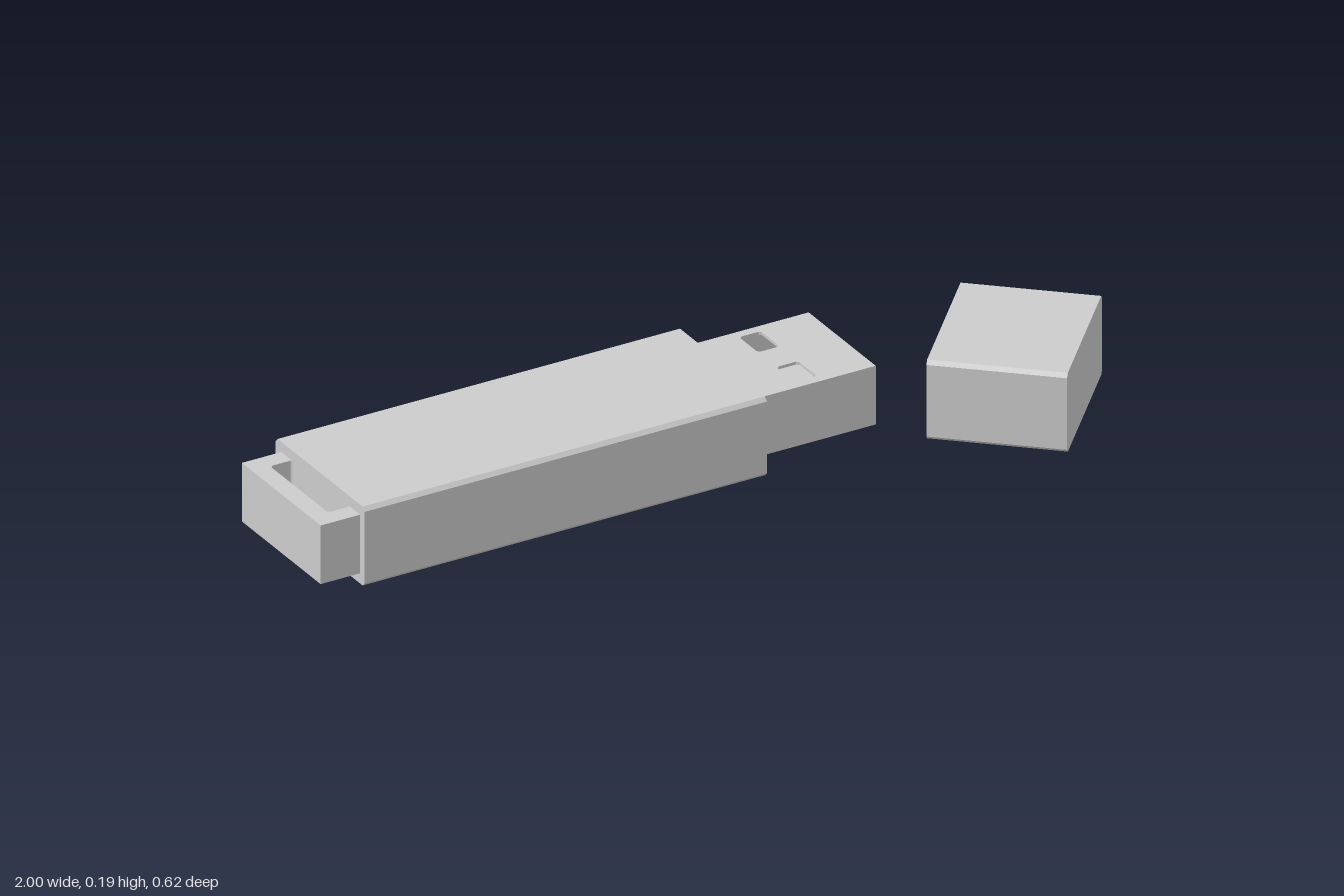
import * as THREE from 'three';

const material = new THREE.MeshStandardMaterial({ color: 0xcccccc, flatShading: true });

function add(group, name, geometry) {
  const mesh = new THREE.Mesh(geometry, material);
  mesh.name = name;
  group.add(mesh);
  return mesh;
}

// Box given by its limits on each axis
function box(x0, x1, y0, y1, z0, z1) {
  return new THREE.BoxGeometry(x1 - x0, y1 - y0, z1 - z0)
    .translate((x0 + x1) / 2, (y0 + y1) / 2, (z0 + z1) / 2);
}

// Rectangle with cut corners, centred on x
function chamferedRect(Type, width, y0, y1, c) {
  const w = width / 2;
  return new Type([
    [-w + c, y0], [w - c, y0], [w, y0 + c], [w, y1 - c],
    [w - c, y1], [-w + c, y1], [-w, y1 - c], [-w, y0 + c],
  ].map(([x, y]) => new THREE.Vector2(x, y)));
}

const extrude = (shape, depth) => new THREE.ExtrudeGeometry(shape, { depth, bevelEnabled: false });

// Flat plate in the xz plane with chamfered rectangular holes [x0, x1, z0, z1]
function plate([x0, x1, z0, z1], holes, y0, y1) {
  const rect = (Type, a, b, c, d) => new Type([[a, -d], [b, -d], [b, -c], [a, -c]]
    .map(([x, y]) => new THREE.Vector2(x, y)));
  const shape = rect(THREE.Shape, x0, x1, z0, z1);
  for (const [a, b, c, d] of holes) {
    const hole = chamferedRect(THREE.Path, b - a, -d, -c, 0.006).getPoints()
      .map((p) => p.add(new THREE.Vector2((a + b) / 2, 0)));
    shape.holes.push(new THREE.Path(hole));
  }
  return extrude(shape, y1 - y0).rotateX(-Math.PI / 2).translate(0, y0, 0);
}

export function createModel() {
  const model = new THREE.Group();
  const width = 0.385, height = 0.195, chamfer = 0.009;
  const low = 0.025, high = 0.17;

  // Main body
  const body = extrude(chamferedRect(THREE.Shape, width, 0, height, chamfer), 1.02);
  add(model, 'body', body.rotateY(Math.PI / 2).translate(-0.9, 0, -0.1225));

  // Lanyard loop on the back end
  add(model, 'lanyardLoop', plate([-1, -0.89, -0.29, 0.05], [[-0.955, -0.897, -0.245, 0.005]], low, high));

  // Metal plug: a hollow shell with locking windows above and below
  const plug = new THREE.Group();
  plug.name = 'plug';
  model.add(plug);
  const t = 0.007, x0 = 0.115, x1 = 0.425, z0 = -0.27, z1 = 0.02;
  const windows = [[0.235, 0.29, -0.247, -0.165], [0.235, 0.29, -0.085, -0.003]];
  add(plug, 'plugTop', plate([x0, x1, z0, z1], windows, high - t, high));
  add(plug, 'plugBottom', plate([x0, x1, z0, z1], windows, low, low + t));
  add(plug, 'plugSideBack', box(x0, x1, low + t, high - t, z0, z0 + t));
  add(plug, 'plugSideFront', box(x0, x1, low + t, high - t, z1 - t, z1));
  add(plug, 'contactTongue', box(x0, x1 - 0.004, low + t, 0.092, z0 + t, z1 - t));

  // Small retaining dimples under the plug top
  for (const z of [-0.206, -0.044]) {
    const dimple = new THREE.SphereGeometry(0.018, 12, 6).scale(1, 0.25, 1);
    add(plug, 'dimple', dimple.translate(0.185, high - t, z));
  }

  // Loose cap, hollow and open towards the plug
  const cap = new THREE.Group();
  cap.name = 'cap';
  cap.position.set(0.7525, 0, 0.06);
  cap.rotation.y = 0.84;
  model.add(cap);
  const half = 0.157, wall = 0.024;
  const sleeve = chamferedRect(THREE.Shape, width, 0, height, chamfer);
  sleeve.holes.push(chamferedRect(THREE.Path, width - 2 * wall, wall, height - wall, 0.004));
  add(cap, 'capSleeve', extrude(sleeve, 2 * half - wall).translate(0, 0, -half));
  const end = chamferedRect(THREE.Shape, width, 0, height, chamfer);
  add(cap, 'capEnd', extrude(end, wall).translate(0, 0, half - wall));

  return model;
}
